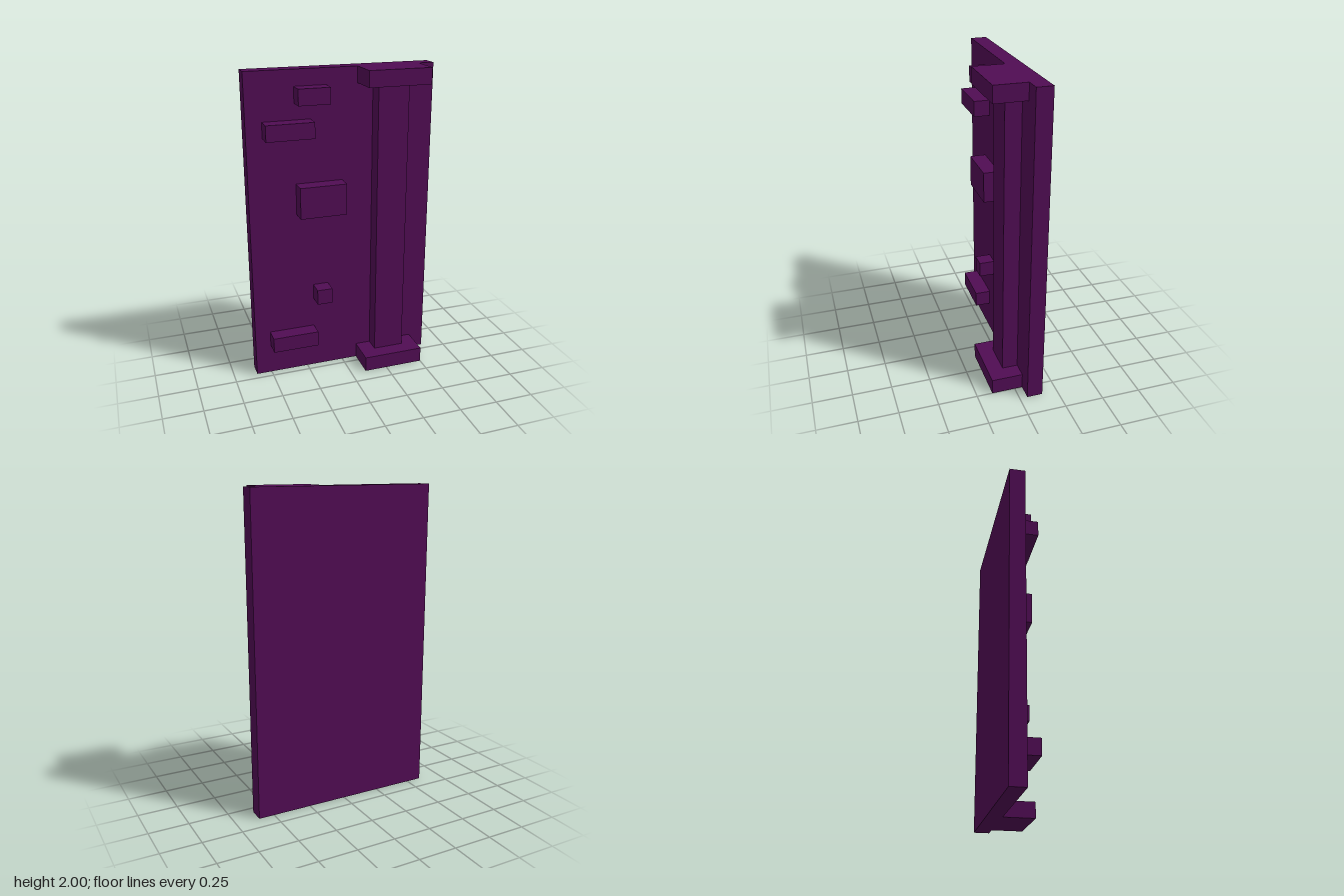
import * as THREE from 'three';

export function createModel() {
  const model = new THREE.Group();
  model.name = 'wallPanel';

  const purple = new THREE.MeshStandardMaterial({ color: 0x500c53 });
  purple.name = 'deep purple';

  // Adds a box spanning the given limits on each axis
  const addBox = (name, [x0, x1], [y0, y1], [z0, z1]) => {
    const mesh = new THREE.Mesh(new THREE.BoxGeometry(x1 - x0, y1 - y0, z1 - z0), purple);
    mesh.position.set((x0 + x1) / 2, (y0 + y1) / 2, (z0 + z1) / 2);
    mesh.name = name;
    model.add(mesh);
  };

  const back = -0.15, face = -0.05, raised = 0.05, front = 0.15;

  // Wall slab
  addBox('wall', [-0.6, 0.6], [0, 2], [back, face]);

  // Pillar between its base and capital
  addBox('pillarBase', [0.1, 0.5], [0, 0.1], [face, front]);
  addBox('pillarShaft', [0.2, 0.4], [0.1, 1.9], [face, raised]);
  addBox('pillarCapital', [0.1, 0.5], [1.9, 2], [face, front]);

  // Bricks standing out of the wall: x range, y range
  const bricks = [
    [[-0.3, -0.1], [1.8, 1.9]],
    [[-0.5, -0.2], [1.6, 1.7]],
    [[-0.3, 0], [1.1, 1.3]],
    [[-0.2, -0.1], [0.5, 0.6]],
    [[-0.5, -0.2], [0.2, 0.3]],
  ];
  bricks.forEach(([x, y], i) => addBox(`brick${i + 1}`, x, y, [face, raised]));

  return model;
}
